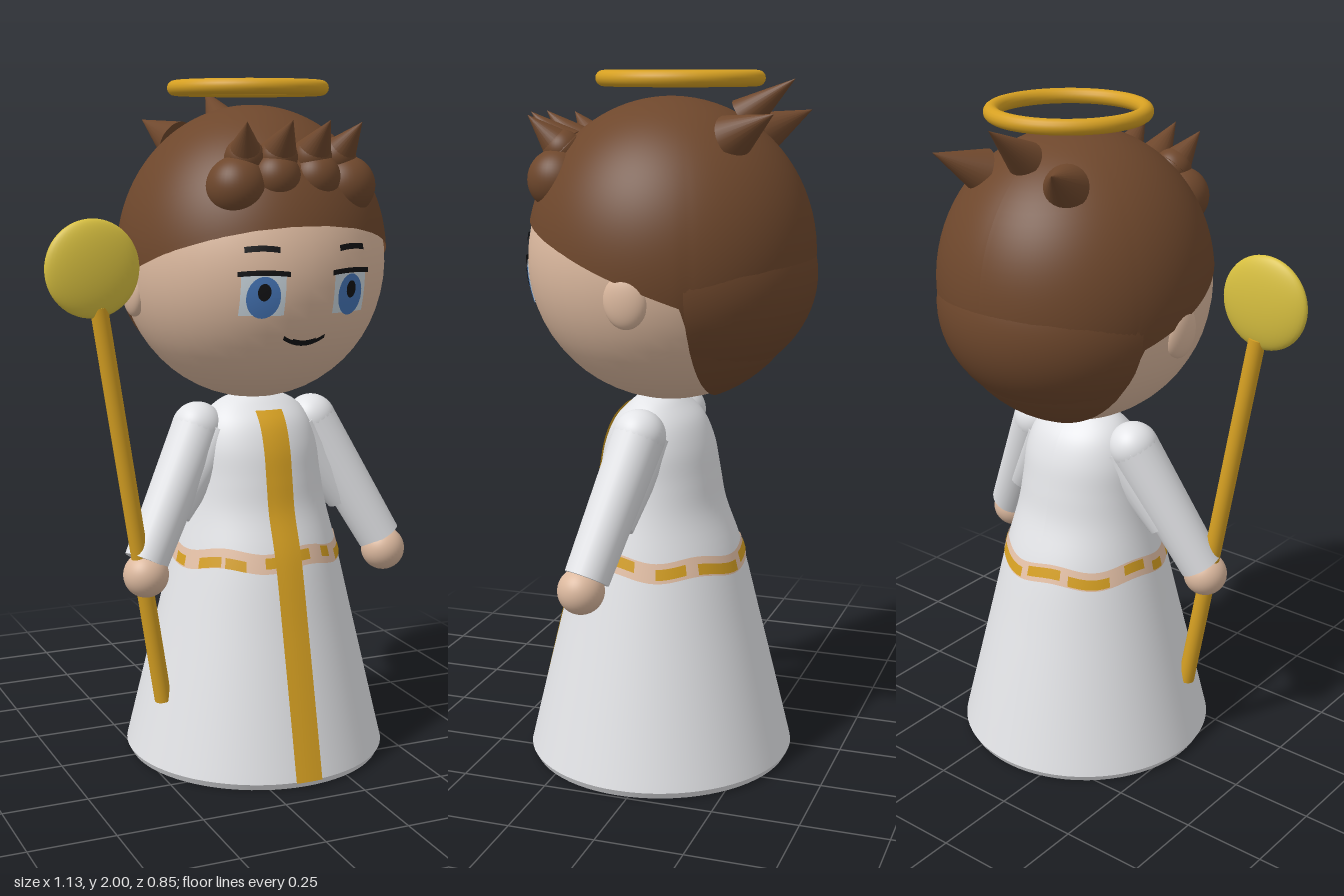
import * as THREE from 'three';

const mat = (name, color, side = THREE.FrontSide) => {
  const m = new THREE.MeshStandardMaterial({ color, side });
  m.name = name;
  return m;
};
const V = (x, y, z) => new THREE.Vector3(x, y, z);
const CX = 0.11; // the figure's own centre line
const CZ = 0.03; // centre of the gown

export function createModel() {
  const white = mat('gown white', 0xe4e5e8, THREE.DoubleSide);
  const skin = mat('skin', 0xdcb99f);
  const hair = mat('hair brown', 0x6e472c, THREE.DoubleSide);
  const gold = mat('gold', 0xd6a022, THREE.DoubleSide);
  const paleGold = mat('pale gold', 0xd8c040);
  const beltTan = mat('belt tan', 0xe6c2a8, THREE.DoubleSide);
  const eyeWhite = mat('eye white', 0xccd8e0, THREE.DoubleSide);
  const blue = mat('iris blue', 0x4676b8, THREE.DoubleSide);
  const black = mat('black', 0x121214, THREE.DoubleSide);

  const model = new THREE.Group();
  model.name = 'haloedFigure';
  const add = (name, geometry, material, x = 0, y = 0, z = 0) => {
    const mesh = new THREE.Mesh(geometry, material);
    mesh.name = name;
    mesh.position.set(x, y, z);
    model.add(mesh);
    return mesh;
  };
  // Surface from a rule: u runs rightwards, v upwards
  const surface = (nu, nv, rule) => {
    const g = new THREE.PlaneGeometry(1, 1, nu, nv);
    const p = g.attributes.position;
    for (let i = 0; i < p.count; i++) {
      const q = rule(p.getX(i) + 0.5, p.getY(i) + 0.5);
      p.setXYZ(i, q.x, q.y, q.z);
    }
    g.computeVertexNormals();
    return g;
  };
  const ball = (name, material, c, r) => {
    const m = add(name, new THREE.SphereGeometry(1, 40, 28), material, c.x, c.y, c.z);
    m.scale.copy(r);
    return m;
  };
  // Tapered rod from a to b
  const rod = (name, material, a, b, ra, rb) => {
    const d = b.clone().sub(a);
    const m = add(name, new THREE.CylinderGeometry(rb, ra, d.length(), 24), material);
    m.position.copy(a).addScaledVector(d, 0.5);
    m.quaternion.setFromUnitVectors(V(0, 1, 0), d.normalize());
    return m;
  };

  // Gown: cross-sections (half width, height, half depth)
  const profile = new THREE.CatmullRomCurve3([
    [0.391, 0.02, 0.391], [0.348, 0.2, 0.348], [0.296, 0.42, 0.294], [0.245, 0.64, 0.238],
    [0.214, 0.77, 0.19], [0.2, 0.86, 0.173], [0.19, 0.95, 0.155],
    [0.165, 1.02, 0.125], [0.12, 1.07, 0.078], [0.05, 1.1, 0.04],
  ].map((p) => V(...p)));
  const samples = profile.getPoints(120);
  const around = (s, a, off = 0) =>
    V(CX + (s.x + off) * Math.sin(a), s.y, CZ + (s.z + off) * Math.cos(a));
  const sectionAt = (y) => {
    let i = samples.findIndex((s) => s.y >= y);
    if (i < 1) i = 1;
    const a = samples[i - 1], b = samples[i];
    return a.clone().lerp(b, (y - a.y) / (b.y - a.y));
  };
  add('gown', surface(72, 48, (u, v) => around(profile.getPoint(v), (u * 2 - 1) * Math.PI)), white);
  add('gownHem', new THREE.CylinderGeometry(0.391, 0.38, 0.02, 72), white, CX, 0.01, CZ);

  // Painted front stripe and belt, hugging the gown
  add('frontStripe', surface(4, 60, (u, v) => {
    const s = sectionAt(0.02 + v * 1.035);
    return around(s, Math.asin(((u - 0.5) * 0.08) / s.x), 0.007);
  }), gold);
  const beltBand = (name, material, a0, a1, low, height, off) =>
    add(name, surface(Math.ceil((a1 - a0) * 14), 2, (u, v) => {
      const a = a0 + u * (a1 - a0);
      const y = low + 0.008 * Math.sin(a * 6) - 0.008 * (1 - Math.cos(a)) + v * height;
      return around(sectionAt(y), a, off);
    }), material);
  beltBand('belt', beltTan, -Math.PI, Math.PI, 0.61, 0.055, 0.003);
  [[-1.1, -0.8, 0.612], [-0.75, -0.5, 0.61], [-0.28, 0.3, 0.625], [0.5, 0.65, 0.63],
    [0.8, 1.1, 0.615], [1.35, 1.6, 0.63], [1.85, 2.2, 0.62], [2.35, 2.95, 0.615],
    [3.05, 3.5, 0.625], [3.6, 4.1, 0.615], [4.3, 4.6, 0.63], [4.75, 4.95, 0.615],
  ].forEach(([a, b, y]) => beltBand('beltGold', gold, a, b, y, 0.03, 0.005));

  // Arms and hands
  for (const [side, s] of [['left', 1], ['right', -1]]) {
    const shoulder = V(CX + s * 0.185, 1.0, 0.03), wrist = V(CX + s * 0.38, 0.635, 0.115);
    ball(side + 'Shoulder', white, shoulder, V(0.076, 0.076, 0.076));
    rod(side + 'Sleeve', white, shoulder, wrist, 0.076, 0.065);
    rod(side + 'Underarm', white, V(CX + s * 0.13, 0.98, 0.03), V(CX + s * 0.28, 0.76, 0.07), 0.08, 0.055);
    ball(side + 'Hand', skin, V(CX + s * 0.386, 0.6, 0.13), V(0.066, 0.066, 0.066));
  }

  // Head and ears
  const hc = V(CX, 1.48, 0), hr = V(0.385, 0.4, 0.405);
  ball('head', skin, hc, hr);
  for (const s of [1, -1]) ball('ear', skin, V(CX + s * 0.368, 1.41, 0), V(0.03, 0.078, 0.062));

  // Hair shell, trimmed along a sloping fringe and an upright edge behind the ears
  const isHair = (p) => p.y > 1.45 + 0.39 * p.z || p.z < -0.155;
  const hairPoint = (a, t) => V(CX + 0.392 * Math.sin(t) * Math.sin(a),
    1.5 + 0.43 * Math.cos(t), -0.005 + 0.41 * Math.sin(t) * Math.cos(a));
  const hairEnd = (a) => {
    let t = 0.5;
    while (t < Math.PI && isHair(hairPoint(a, t))) t += 0.004;
    return t;
  };
  add('hair', surface(140, 36, (u, v) => {
    const a = (u * 2 - 1) * Math.PI;
    return hairPoint(a, (1 - v) * hairEnd(a));
  }), hair);
  const nape = add('napeHair', new THREE.SphereGeometry(1, 48, 24, 0, Math.PI * 2, 0, 1.24)
    .rotateX(-Math.PI / 2), hair, CX, 1.44, -0.03);
  nape.scale.set(0.38, 0.325, 0.39);

  // Curls and spikes
  for (const s of [1, -1]) {
    ball('outerCurl', hair, V(CX + s * 0.165, 1.705, 0.27), V(0.085, 0.085, 0.085));
    ball('innerCurl', hair, V(CX + s * 0.06, 1.73, 0.295), V(0.07, 0.07, 0.07));
    rod('frontSpike', hair, V(CX + s * 0.14, 1.785, 0.265), V(CX + s * 0.172, 1.88, 0.355), 0.056, 0);
    rod('frontSpike', hair, V(CX + s * 0.052, 1.79, 0.29), V(CX + s * 0.056, 1.885, 0.395), 0.056, 0);
    for (const [x, z] of [[0.14, 0.265], [0.052, 0.29]]) {
      ball('spikeRoot', hair, V(CX + s * x, 1.785, z), V(0.055, 0.055, 0.055));
    }
    rod('backSideSpike', hair, V(CX + s * 0.15, 1.825, -0.225), V(CX + s * 0.21, 1.89, -0.355), 0.064, 0);
  }
  rod('backMiddleSpike', hair, V(CX, 1.875, -0.215), V(CX, 1.978, -0.358), 0.054, 0);

  // Face details, laid on the head's front
  const onFace = (name, g, material, x, y, off, bend = 0) => {
    const p = g.attributes.position;
    for (let i = 0; i < p.count; i++) {
      const px = p.getX(i), fx = x + px, fy = y + p.getY(i) + bend * px * px;
      const k = 1 - (fx / hr.x) ** 2 - ((fy - hc.y) / hr.y) ** 2;
      p.setXYZ(i, CX + fx, fy, hr.z * Math.sqrt(k) + off);
    }
    g.computeVertexNormals();
    add(name, g, material);
  };
  const disc = (rx, ry) => new THREE.RingGeometry(0.001, 1, 28, 5).scale(rx, ry, 1);
  const bar = (w, h) => new THREE.PlaneGeometry(w, h, 12, 3);
  for (const s of [1, -1]) {
    onFace('eyeWhite', bar(0.115, 0.11), eyeWhite, s * 0.131, 1.417, 0.002);
    onFace('iris', disc(0.044, 0.058), blue, s * 0.131, 1.412, 0.004);
    onFace('pupil', disc(0.017, 0.024), black, s * 0.131, 1.427, 0.006);
    onFace('eyelash', bar(0.135, 0.014), black, s * 0.131, 1.48, 0.006, -1);
    onFace('eyebrow', bar(0.09, 0.016), black, s * 0.135, 1.545, 0.004, -2);
  }
  onFace('mouth', bar(0.125, 0.012), black, 0, 1.278, 0.004, 5);
  onFace('lowerLip', bar(0.07, 0.016), black, 0, 1.28, 0.005, 5);

  // Halo
  add('halo', new THREE.TorusGeometry(0.213, 0.022, 16, 72).rotateX(Math.PI / 2), gold, CX, 1.978, -0.031);

  // Staff with a flattened round head
  rod('staffPole', gold, V(-0.222, 0.21, 0.12), V(-0.415, 1.38, 0.152), 0.025, 0.025);
  ball('staffHead', paleGold, V(-0.433, 1.487, 0.155), V(0.136, 0.136, 0.034));

  return model;
}
